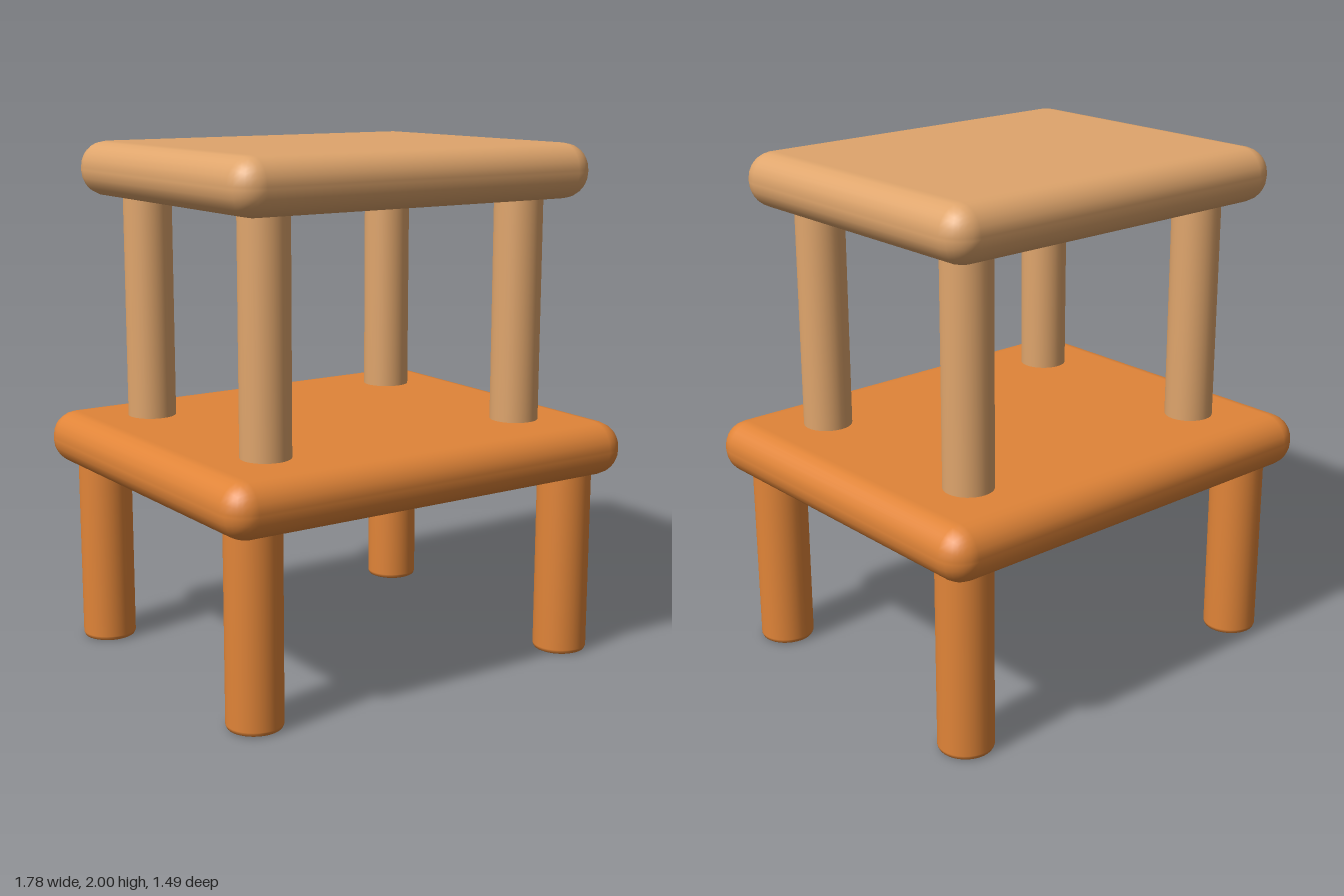
import * as THREE from 'three';
import { RoundedBoxGeometry } from 'three/addons/geometries/RoundedBoxGeometry.js';

// Upright post with a small rounded rim at both ends, standing on y = 0
function postGeometry(radius, height) {
  const b = 0.015;
  const points = [
    [0, 0], [radius - b - 0.004, 0], [radius - b, 0], [radius - b * 0.3, b * 0.3], [radius, b], [radius, b + 0.004],
    [radius, height - b], [radius - b, height], [0, height],
  ].map(([x, y]) => new THREE.Vector2(x, y));
  return new THREE.LatheGeometry(points, 32);
}

// Slab with fully rounded edges on four posts
function createTier({ name, material, width, depth, bottom, top, postRadius, postX, postZ, postBottom }) {
  const tier = new THREE.Group();
  tier.name = name;

  const slab = new THREE.Mesh(new RoundedBoxGeometry(width, top - bottom, depth, 3, 0.1), material);
  slab.name = name + 'Slab';
  slab.position.y = (bottom + top) / 2;
  tier.add(slab);

  // Posts run slightly into the slab
  const geometry = postGeometry(postRadius, bottom + 0.03 - postBottom);
  for (const [side, sx] of [['Left', 1], ['Right', -1]]) {
    for (const [end, sz] of [['Front', 1], ['Back', -1]]) {
      const post = new THREE.Mesh(geometry, material);
      post.name = name + end + side + 'Post';
      post.position.set(sx * postX, postBottom, sz * postZ);
      tier.add(post);
    }
  }
  return tier;
}

export function createModel() {
  const orangeWood = new THREE.MeshStandardMaterial({ name: 'orangeWood', color: 0xe08438 });
  const paleWood = new THREE.MeshStandardMaterial({ name: 'paleWood', color: 0xdfa56c });

  const model = new THREE.Group();
  model.name = 'twoTierTable';
  model.add(
    createTier({
      name: 'lower', material: orangeWood, width: 1.78, depth: 1.49, bottom: 0.72, top: 0.93,
      postRadius: 0.105, postX: 0.713, postZ: 0.572, postBottom: 0,
    }),
    createTier({
      name: 'upper', material: paleWood, width: 1.566, depth: 1.28, bottom: 1.79, top: 2,
      postRadius: 0.094, postX: 0.57, postZ: 0.428, postBottom: 0.9,
    }),
  );
  return model;
}
